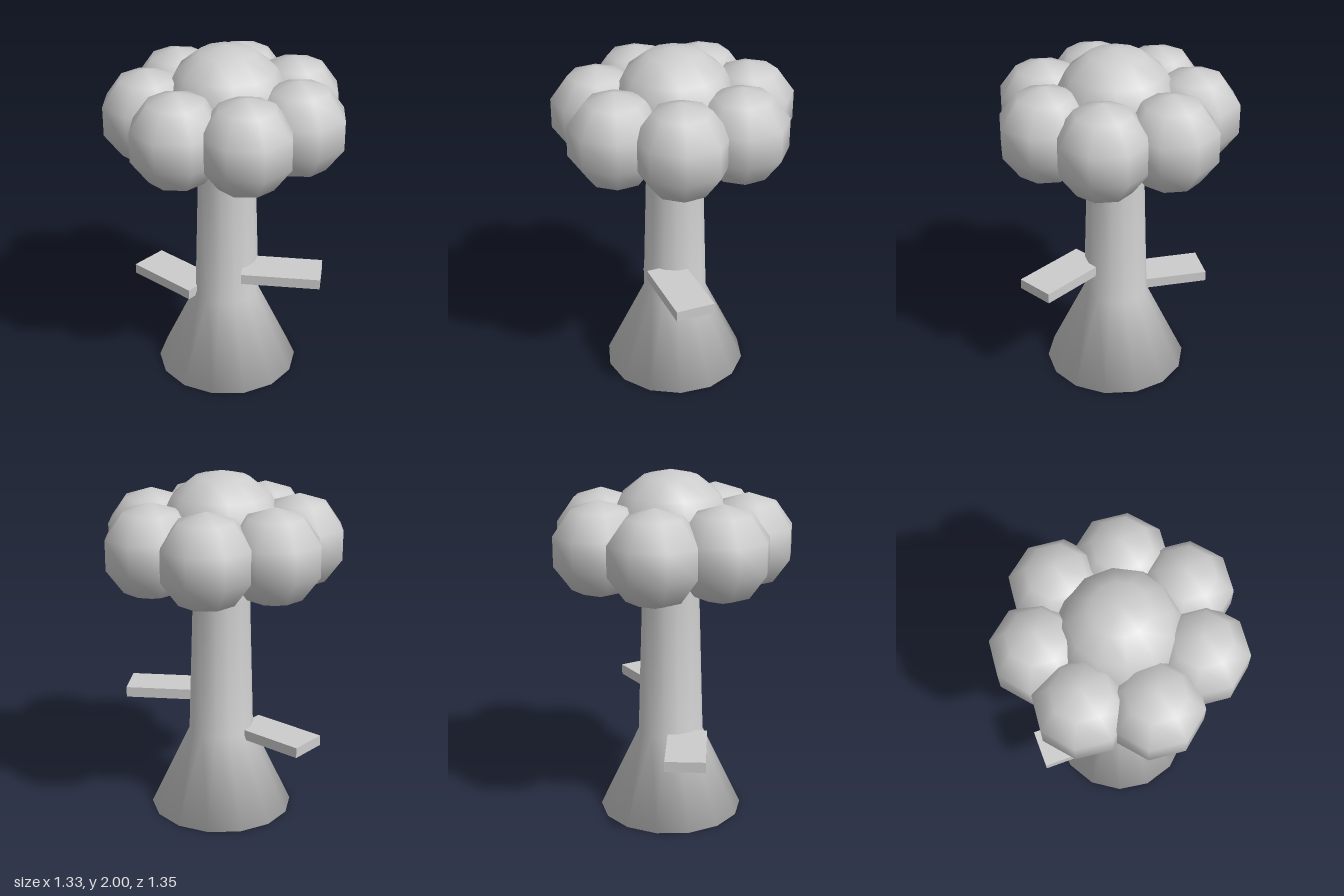
import * as THREE from 'three';

const CENTRE_X = -0.0225; // trunk axis

export function createModel() {
  const model = new THREE.Group();
  model.name = 'tree';
  const grey = new THREE.MeshStandardMaterial({ color: 0xcccccc });
  grey.name = 'plain grey';

  const add = (name, geometry, x, y, z) => {
    const mesh = new THREE.Mesh(geometry, grey);
    mesh.name = name;
    mesh.position.set(x, y, z);
    model.add(mesh);
    return mesh;
  };

  // Trunk with a flared, closed foot; its top is hidden inside the crown
  const profile = [[0, 0], [0.4125, 0], [0.187, 0.48], [0.158, 1.42]]
    .map(([r, y]) => new THREE.Vector2(r, y));
  add('trunk', new THREE.LatheGeometry(profile, 14, Math.PI / 2), CENTRE_X, 0, 0);

  // Central foliage ball
  add('crown', new THREE.SphereGeometry(0.35, 12, 7), CENTRE_X, 1.65, 0);

  // Ring of seven foliage balls
  const ball = new THREE.SphereGeometry(0.27, 8, 5);
  for (let i = 0; i < 7; i++) {
    const a = (i / 7) * Math.PI * 2;
    add('foliageBall' + (i + 1), ball,
      CENTRE_X + 0.43 * Math.cos(a), 1.6, 0.43 * Math.sin(a));
  }

  // Two plank steps, swung back on opposite sides of the trunk
  const plank = new THREE.BoxGeometry(0.45, 0.06, 0.225);
  for (const [name, side, y] of [['leftPlank', 1, 0.675], ['rightPlank', -1, 0.48]]) {
    add(name, plank, CENTRE_X + side * 0.349, y, 0).rotation.y = side * 0.3;
  }

  return model;
}
